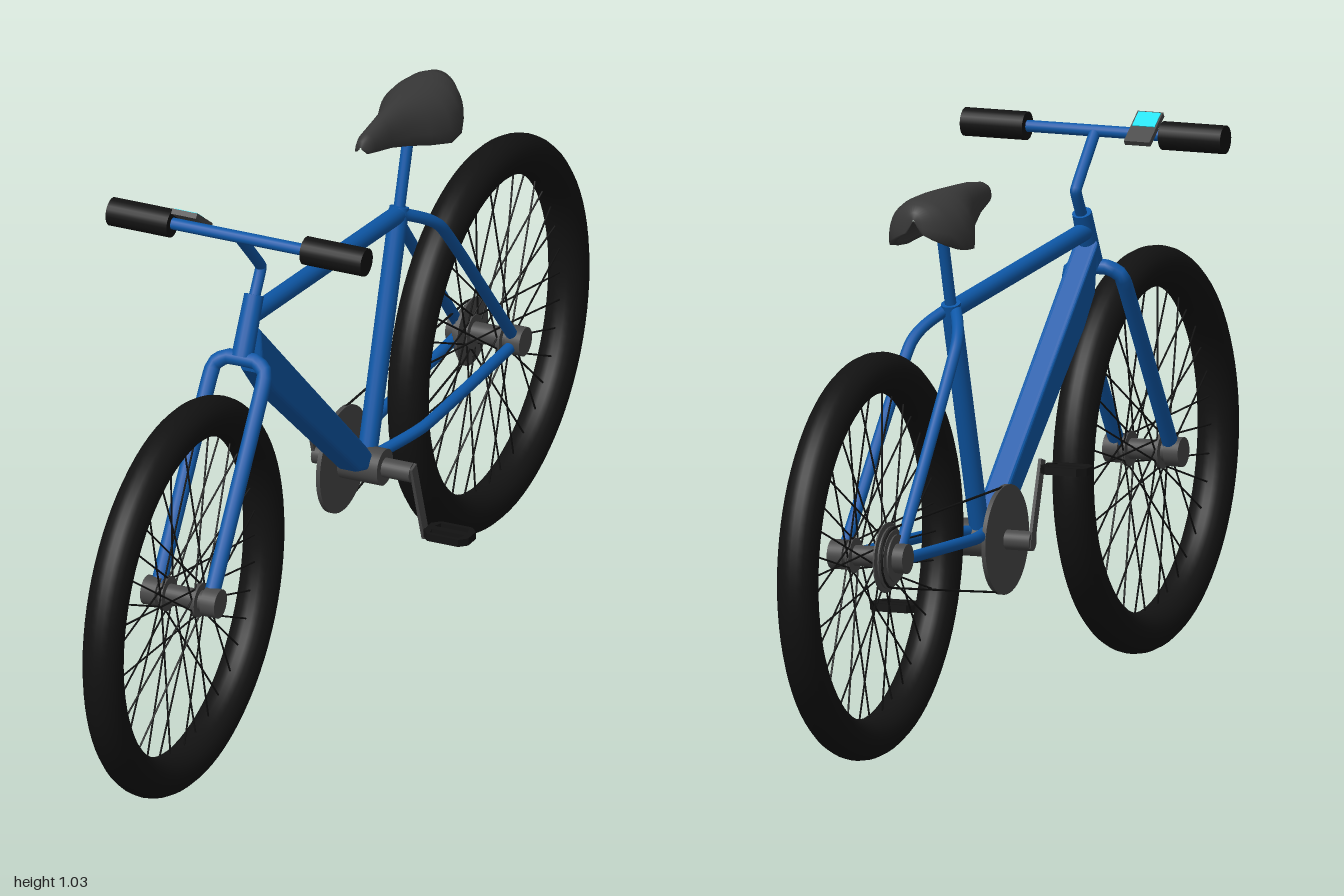
import * as THREE from 'three';
import { mergeGeometries } from 'three/addons/utils/BufferGeometryUtils.js';

const V = (x, y, z) => new THREE.Vector3(x, y, z);
const mat = (color, side = THREE.FrontSide) => new THREE.MeshStandardMaterial({ color, side });
const BLUE = mat(0x0e58a8), BLACK = mat(0x121212), METAL = mat(0x484848), PAD = mat(0x383838), CYAN = mat(0x20e0f0);

const WHEEL_Y = 0.37, WHEEL_Z = 0.63, CRANK = V(0, 0.325, -0.12);

function add(parent, name, geometry, material) {
  const mesh = new THREE.Mesh(geometry, material);
  mesh.name = name;
  parent.add(mesh);
  return mesh;
}

// Straight round bar between two points
function barGeo(a, b, r0, r1 = r0, sides = 16) {
  const dir = b.clone().sub(a);
  const g = new THREE.CylinderGeometry(r1, r0, dir.length(), sides);
  g.applyQuaternion(new THREE.Quaternion().setFromUnitVectors(V(0, 1, 0), dir.normalize()));
  const m = a.clone().add(b).multiplyScalar(0.5);
  return g.translate(m.x, m.y, m.z);
}

// Bent tube through points, with tight bends
function tubeGeo(points, r, tension = 0.25, closed = false, sides = 12) {
  const curve = new THREE.CatmullRomCurve3(points, closed, 'catmullrom', tension);
  return new THREE.TubeGeometry(curve, 72, r, sides, closed);
}

// Cylinder along x
const axle = (x0, x1, y, z, r, sides = 32) => barGeo(V(x0, y, z), V(x1, y, z), r, r, sides);

// Outline drawn in the (z, y) plane and extruded to a centred width in x
function sidePlate(points, width, bevel) {
  const shape = new THREE.Shape(points.map(([z, y]) => new THREE.Vector2(z, y)));
  const depth = width - 2 * bevel;
  return new THREE.ExtrudeGeometry(shape, { depth, bevelSize: bevel, bevelThickness: bevel, bevelOffset: -bevel, bevelSegments: 3 })
    .translate(0, 0, -depth / 2).rotateY(-Math.PI / 2);
}

function makeWheel(name, z) {
  const wheel = new THREE.Group();
  wheel.name = name;
  wheel.position.set(0, WHEEL_Y, z);
  add(wheel, 'tyre', new THREE.TorusGeometry(0.332, 0.0375, 20, 80).rotateY(Math.PI / 2), BLACK);
  // Crossed spokes, alternating hub flanges
  const spokes = [];
  const count = 36;
  for (let i = 0; i < count; i++) {
    const a = (i / count) * Math.PI * 2;
    const x = i % 2 ? 0.032 : -0.032;
    const h = a + (i % 4 < 2 ? 1.2 : -1.2);
    spokes.push(barGeo(V(x, 0.026 * Math.sin(h), 0.026 * Math.cos(h)),
      V(0, 0.305 * Math.sin(a), 0.305 * Math.cos(a)), 0.0018, 0.0018, 5));
  }
  add(wheel, 'spokes', mergeGeometries(spokes), BLACK);
  add(wheel, 'hub', axle(-0.07, 0.07, 0, 0, 0.019), METAL);
  for (const s of [-1, 1]) {
    add(wheel, 'hubFlange', axle(s * 0.028, s * 0.036, 0, 0, 0.032), METAL);
    add(wheel, 'axleEnd', axle(s * 0.045, s * 0.074, 0, 0, 0.027), METAL);
  }
  return wheel;
}

// Saddle lofted from arched cross-sections: z, half width, top, bottom
function saddleGeo() {
  const stations = [
    [-0.102, 0.002, 0.957, 0.954], [-0.106, 0.013, 0.969, 0.946], [-0.125, 0.019, 0.976, 0.943],
    [-0.18, 0.024, 0.984, 0.93], [-0.23, 0.034, 0.987, 0.915], [-0.28, 0.055, 0.989, 0.9],
    [-0.325, 0.074, 0.989, 0.89], [-0.365, 0.075, 0.988, 0.893], [-0.4, 0.062, 0.986, 0.905],
    [-0.422, 0.042, 0.98, 0.917], [-0.431, 0.018, 0.967, 0.928], [-0.433, 0.002, 0.953, 0.95]];
  const N = 20, ring = 2 * N + 2, pos = [], idx = [];
  for (const [z, w, top, bottom] of stations) {
    const h = top - bottom;
    for (let j = 0; j < ring; j++) {
      const outer = j <= N;
      const t = (outer ? j : ring - 1 - j) / N * Math.PI;
      const k = Math.max(Math.sin(t), 0);
      if (outer) pos.push(w * Math.cos(t), bottom + h * Math.pow(k, 0.75), z);
      else pos.push(w * 0.78 * Math.cos(t), bottom + h * 0.5 * k, z);
    }
  }
  for (let i = 0; i < stations.length - 1; i++) {
    for (let j = 0; j < ring; j++) {
      const a = i * ring + j, b = i * ring + (j + 1) % ring;
      idx.push(a, a + ring, b, b, a + ring, b + ring);
    }
  }
  const g = new THREE.BufferGeometry();
  g.setAttribute('position', new THREE.Float32BufferAttribute(pos, 3));
  g.setIndex(idx);
  g.computeVertexNormals();
  return g;
}

// Flat pedal platform with two openings
function pedalGeo() {
  const w = 0.045, d = 0.03, c = 0.014;
  const shape = new THREE.Shape([[-w, -d + c], [-w + c, -d], [w - c, -d], [w, -d + c],
    [w, d - c], [w - c, d], [-w + c, d], [-w, d - c]].map(p => new THREE.Vector2(...p)));
  for (const s of [-1, 1]) {
    shape.holes.push(new THREE.Path([[-0.033, s * 0.007], [0.033, s * 0.007], [0.028, s * 0.022], [-0.028, s * 0.022]]
      .map(p => new THREE.Vector2(...p))));
  }
  return new THREE.ExtrudeGeometry(shape, { depth: 0.014, bevelEnabled: false })
    .translate(0, 0, -0.007).rotateX(Math.PI / 2);
}

export function createModel() {
  const bike = new THREE.Group();
  bike.name = 'bicycle';
  bike.add(makeWheel('frontWheel', WHEEL_Z), makeWheel('rearWheel', -WHEEL_Z));

  // Main frame
  const frame = new THREE.Group();
  frame.name = 'frame';
  bike.add(frame);
  add(frame, 'headTube', barGeo(V(0, 0.745, 0.387), V(0, 0.848, 0.338), 0.02, 0.018), BLUE);
  add(frame, 'topTube', barGeo(V(0, 0.812, 0.35), V(0, 0.762, -0.262), 0.017), BLUE);
  add(frame, 'seatTube', barGeo(V(0, 0.325, -0.125), V(0, 0.775, -0.262), 0.018), BLUE);
  add(frame, 'downTube', sidePlate([[0.36, 0.795], [0.35, 0.7], [0.3, 0.642], [-0.05, 0.34],
    [-0.09, 0.328], [-0.115, 0.345], [-0.085, 0.378]], 0.046, 0.008), BLUE);
  add(frame, 'bottomBracket', axle(-0.04, 0.04, CRANK.y, CRANK.z, 0.034), METAL);
  for (const s of [-1, 1]) {
    add(frame, 'seatStay', tubeGeo([V(s * 0.008, 0.765, -0.257), V(s * 0.045, 0.708, -0.345),
      V(s * 0.054, 0.37, -0.63)], 0.011), BLUE);
    add(frame, 'chainStay', tubeGeo([V(s * 0.012, 0.338, -0.13), V(s * 0.048, 0.348, -0.27),
      V(s * 0.054, 0.365, -0.63)], 0.011), BLUE);
  }

  // Fork: one tube bent over the front wheel
  const half = [[0.053, 0.37, 0.63], [0.053, 0.705, 0.413], [0.045, 0.732, 0.396], [0.028, 0.742, 0.389]];
  const left = half.map(([x, y, z]) => V(x, y, z));
  const right = half.map(([x, y, z]) => V(-x, y, z)).reverse();
  add(bike, 'fork', tubeGeo([...left, ...right], 0.0145), BLUE);

  // Stem, handlebar and grips
  add(bike, 'stem', tubeGeo([V(0, 0.83, 0.346), V(0, 0.893, 0.31), V(0, 0.988, 0.4)], 0.0105, 0.1), BLUE);
  add(bike, 'handlebar', axle(-0.24, 0.24, 0.988, 0.4, 0.011, 16), BLUE);
  for (const s of [-1, 1]) add(bike, 'grip', axle(s * 0.133, s * 0.255, 0.988, 0.4, 0.026, 24), BLACK);

  // Tilted handlebar display
  const display = new THREE.Group();
  display.name = 'display';
  display.position.set(-0.1, 1.0, 0.389);
  display.rotation.x = -0.62;
  add(display, 'displayBody', new THREE.BoxGeometry(0.05, 0.01, 0.078), METAL);
  add(display, 'screen', new THREE.BoxGeometry(0.044, 0.003, 0.036).translate(0, 0.005, 0.018), CYAN);
  bike.add(display);

  // Seat post and saddle
  add(bike, 'seatPost', barGeo(V(0, 0.76, -0.258), V(0, 0.955, -0.315), 0.0105), BLUE);
  add(bike, 'saddle', saddleGeo(), PAD);

  // Chainring, cassette and chain on the drive side
  add(bike, 'crankAxle', axle(-0.1, 0.096, CRANK.y, CRANK.z, 0.018), METAL);
  add(bike, 'chainring', axle(-0.05, -0.042, CRANK.y, CRANK.z, 0.1, 56), METAL);
  for (let i = 0; i < 4; i++) {
    const x = -0.032 - i * 0.006;
    add(bike, 'sprocket', axle(x, x - 0.003, WHEEL_Y, -WHEEL_Z, 0.064 - i * 0.007), METAL);
  }
  const loop = [];
  const arc = (y, z, r, from) => {
    for (let i = 0; i <= 8; i++) {
      const a = from + i * Math.PI / 8;
      loop.push(V(-0.046, y + r * Math.sin(a), z + r * Math.cos(a)));
    }
  };
  arc(CRANK.y, CRANK.z, 0.097, -Math.PI / 2);
  arc(WHEEL_Y, -WHEEL_Z, 0.055, Math.PI / 2);
  add(bike, 'chain', tubeGeo(loop, 0.0022, 0.1, true, 6), BLACK);

  // Crank arms and pedals, half a turn apart
  for (const s of [-1, 1]) {
    const tip = V(s * 0.1, CRANK.y - s * 0.128, CRANK.z - s * 0.042);
    const arm = new THREE.Group();
    arm.name = 'crank';
    const blade = add(arm, 'crankArm', new THREE.BoxGeometry(0.006, 0.165, 0.02), METAL);
    blade.position.set(s * 0.098, (CRANK.y + tip.y) / 2, (CRANK.z + tip.z) / 2);
    blade.rotation.x = Math.atan2(0.042, 0.128);
    add(arm, 'pedal', pedalGeo(), BLACK).position.set(s * 0.149, tip.y, tip.z);
    add(arm, 'pedalSpindle', axle(s * 0.098, s * 0.185, tip.y, tip.z, 0.005, 12), METAL);
    bike.add(arm);
  }
  return bike;
}
